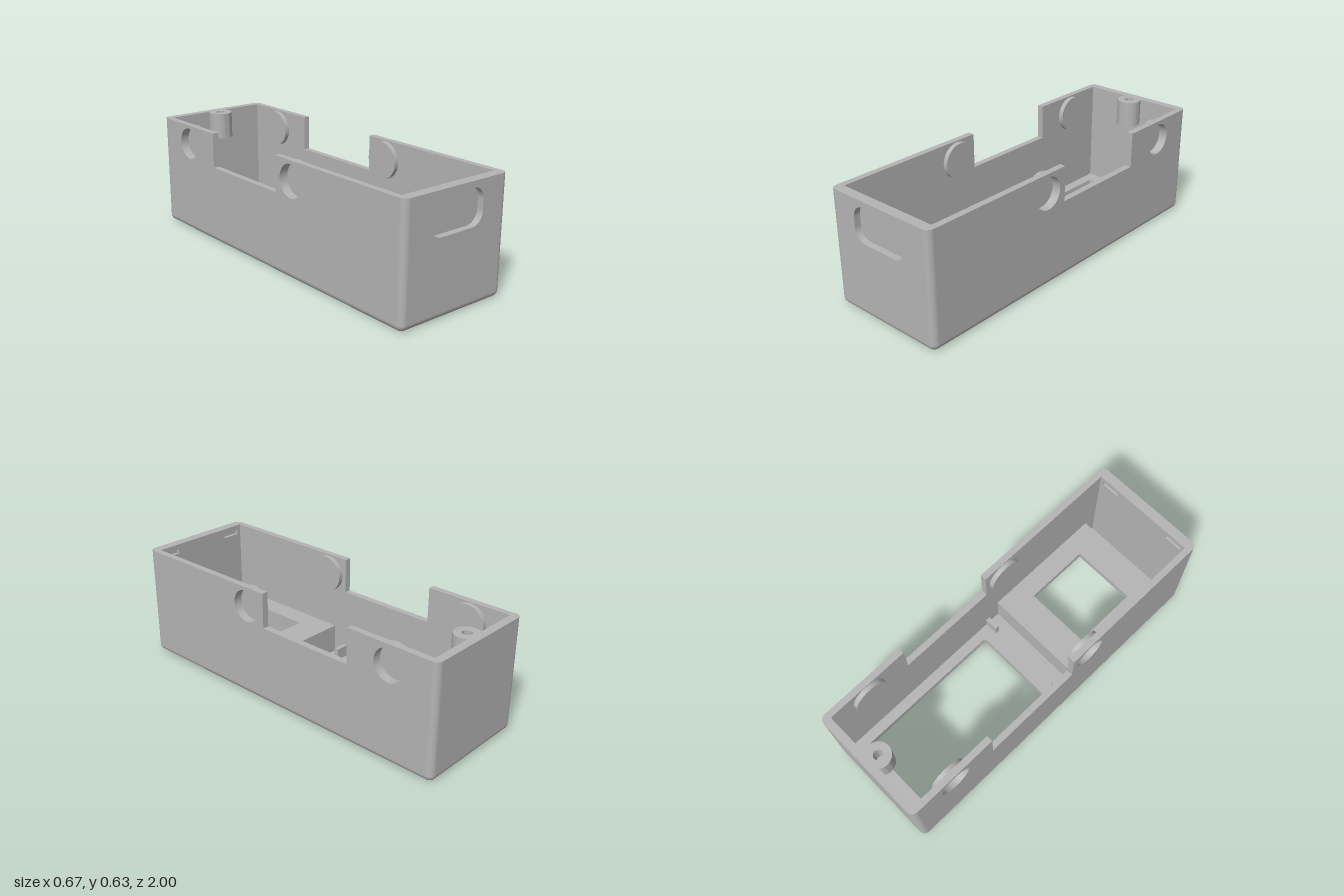
import * as THREE from 'three';
import { toCreasedNormals } from 'three/addons/utils/BufferGeometryUtils.js';

const W = 0.333, L = 1, H = 0.627, R = 0.035;   // half width, half length, height, edge radius
const IX = W - R, IZ = L - R;                   // inner core of the rounded outline
const FLOOR = 0.045;

// rectangle (optionally rounded) between two corners
function rect(x0, y0, x1, y1, r = 0, Type = THREE.Path) {
  const p = new Type();
  if (!r) return p.setFromPoints([[x0, y0], [x1, y0], [x1, y1], [x0, y1], [x0, y0]].map(a => new THREE.Vector2(...a)));
  p.moveTo(x0 + r, y0);
  p.lineTo(x1 - r, y0).absarc(x1 - r, y0 + r, r, -Math.PI / 2, 0);
  p.lineTo(x1, y1 - r).absarc(x1 - r, y1 - r, r, 0, Math.PI / 2);
  p.lineTo(x0 + r, y1).absarc(x0 + r, y1 - r, r, Math.PI / 2, Math.PI);
  p.lineTo(x0, y0 + r).absarc(x0 + r, y0 + r, r, Math.PI, Math.PI * 1.5);
  return p;
}

function slab(shape, holes, depth) {
  shape.holes.push(...holes);
  return toCreasedNormals(new THREE.ExtrudeGeometry(shape, { depth, bevelEnabled: false, curveSegments: 14 }), 0.6);
}

const lathe = pts => toCreasedNormals(
  new THREE.LatheGeometry(pts.map(p => new THREE.Vector2(...p)), 48), 0.6);

// rounded band joining the walls to the underside
function filletGeometry() {
  const S = 8, n = 4 * (S + 1), pos = [], nor = [], idx = [];
  const signs = [[1, 1], [-1, 1], [-1, -1], [1, -1]];
  for (let m = 0; m <= S; m++) {
    const f = m / S * Math.PI / 2;
    for (let k = 0; k < 4; k++) for (let j = 0; j <= S; j++) {
      const a = (k + j / S) * Math.PI / 2;
      const v = [Math.cos(a) * Math.sin(f), -Math.cos(f), Math.sin(a) * Math.sin(f)];
      nor.push(...v);
      pos.push(signs[k][0] * IX + R * v[0], R + R * v[1], signs[k][1] * IZ + R * v[2]);
    }
  }
  for (let m = 0; m < S; m++) for (let i = 0; i < n; i++) {
    const a = m * n + i, b = m * n + (i + 1) % n;
    idx.push(a, a + n, b, b, a + n, b + n);
  }
  const g = new THREE.BufferGeometry();
  g.setAttribute('position', new THREE.Float32BufferAttribute(pos, 3));
  g.setAttribute('normal', new THREE.Float32BufferAttribute(nor, 3));
  g.setIndex(idx);
  return g;
}

export function createModel() {
  const group = new THREE.Group();
  group.name = 'enclosure';
  const grey = new THREE.MeshStandardMaterial({ color: 0xb4b4b4 });
  grey.name = 'grey plastic';
  const add = (name, geo, x = 0, y = 0, z = 0) => {
    const m = new THREE.Mesh(geo, grey);
    m.name = name;
    m.position.set(x, y, z);
    group.add(m);
    return m;
  };
  // horizontal plate; outlines are drawn as (x, -z)
  const plate = (name, shape, holes, y0, y1) =>
    add(name, slab(shape, holes, y1 - y0).rotateX(-Math.PI / 2), 0, y0);

  // floor with the large window and the pocket opening
  const pocket = () => rect(-0.265, -0.84, 0.265, -0.2, 0.055);
  plate('floor', rect(-IX, -IZ, IX, IZ, 0, THREE.Shape),
    [rect(-0.24, 0, 0.24, 0.88, 0.02), pocket()], 0, FLOOR);
  add('bottomFillet', filletGeometry());

  // raised platform, hollow below, with a square window
  const base = () => rect(-IX, -0.87, IX, -0.16, 0, THREE.Shape);
  plate('platformWalls', base(), [pocket()], FLOOR, 0.17);
  plate('platformTop', base(), [rect(-0.185, -0.705, 0.185, -0.333)], 0.17, 0.205);

  // long walls with cutout and round finger recesses
  const discZ = [0.21, -0.73], discY = 0.52;
  for (const side of [1, -1]) {
    const s = new THREE.Shape([[-IZ, R], [IZ, R], [IZ, H], [0.085, H], [0.085, 0.435],
      [-0.48, 0.435], [-0.48, H], [-IZ, H]].map(p => new THREE.Vector2(...p)));
    const holes = discZ.map(z => new THREE.Path().absarc(z, discY, 0.088, 0, Math.PI * 2));
    add('sideWall', slab(s, holes, R).rotateY(-Math.PI / 2), side > 0 ? W : -IX);

    // shallow cups closing the recesses on the inside
    for (const z of discZ) {
      const cup = lathe([[0, 0.272], [0.1, 0.272], [0.1, IX], [0.088, IX], [0.088, 0.285], [0, 0.285]]);
      add('recessCup', cup, 0, discY, z).rotation.z = -side * Math.PI / 2;
    }

    // low locating rib beside the platform
    add('rib', new THREE.BoxGeometry(0.08, 0.07, 0.025), side * 0.26, FLOOR + 0.03, 0.08);

    // rounded vertical corners
    for (const end of [1, -1]) {
      const start = side > 0 ? (end > 0 ? 0 : 0.5) : (end > 0 ? 1.5 : 1);
      add('corner', new THREE.CylinderGeometry(R, R, H - R, 10, 1, false, start * Math.PI, Math.PI / 2),
        side * IX, (H + R) / 2, end * IZ);
    }
  }

  // end walls: recessed panel outside the front, two latch slots inside it
  const end = () => rect(-IX, R, IX, H, 0, THREE.Shape);
  add('frontWallOuter', slab(end(), [rect(-0.17, 0.404, 0.17, 0.595, 0.07)], R), 0, 0, IZ);
  add('frontWallInner', slab(end(),
    [1, -1].map(s => rect(s * 0.225 - 0.052, 0.572, s * 0.225 + 0.052, 0.598)), 0.02), 0, 0, IZ - 0.02);
  add('backWall', slab(end(), [], 0.045), 0, 0, -L);

  // screw boss on the back wall
  add('screwBoss', lathe([[0, 0.48], [0.067, 0.48], [0.067, H], [0.025, H], [0.025, 0.5], [0, 0.5]]), 0, 0, -0.915);

  return group;
}
